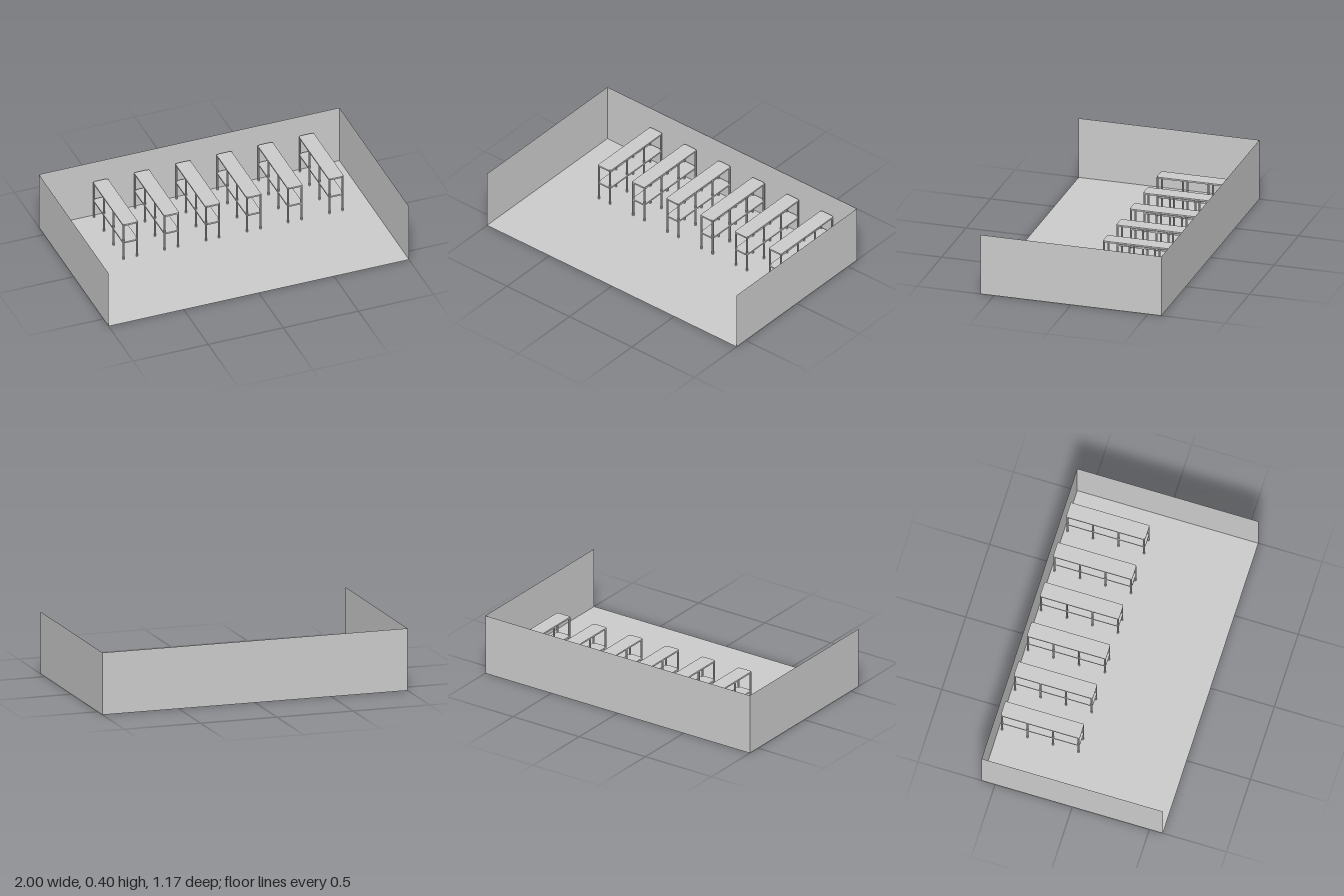
import * as THREE from 'three';

const W = 2, D = 1.174, H = 0.395;
const TABLE_W = 0.1, TABLE_L = 0.512, TABLE_Z = -0.318, TABLE_H = 0.26;
const LEG_R = 0.0065, SHELF_T = 0.01;

const material = new THREE.MeshStandardMaterial({ color: 0xcccccc, flatShading: true });
const thin = new THREE.MeshStandardMaterial({ color: 0xcccccc, side: THREE.DoubleSide });

function add(parent, name, geometry, mat, x, y, z) {
  const mesh = new THREE.Mesh(geometry, mat);
  mesh.name = name;
  mesh.position.set(x, y, z);
  parent.add(mesh);
  return mesh;
}

// Flat board with clipped corners, lying with its top at y = 0
function shelfGeometry() {
  const a = TABLE_W / 2, b = TABLE_L / 2, c = 0.013;
  const shape = new THREE.Shape([
    [a, -b + c], [a, b - c], [a - c, b], [-a + c, b],
    [-a, b - c], [-a, -b + c], [-a + c, -b], [a - c, -b],
  ].map(([x, y]) => new THREE.Vector2(x, y)));
  const g = new THREE.ExtrudeGeometry(shape, { depth: SHELF_T, bevelEnabled: false });
  return g.rotateX(Math.PI / 2);
}

export function createModel() {
  const model = new THREE.Group();
  model.name = 'roomWithTables';

  // Open room: floor and three paper-thin walls
  add(model, 'floor', new THREE.PlaneGeometry(W, D).rotateX(-Math.PI / 2), thin, 0, 0, 0);
  add(model, 'backWall', new THREE.PlaneGeometry(W, H), thin, 0, H / 2, -D / 2);
  for (const s of [-1, 1]) {
    add(model, s > 0 ? 'leftWall' : 'rightWall',
      new THREE.PlaneGeometry(D, H).rotateY(s * Math.PI / 2), thin, s * W / 2, H / 2, 0);
  }

  // Row of six two-tier tables, each on eight slim legs
  const shelf = shelfGeometry();
  const leg = new THREE.CylinderGeometry(LEG_R, LEG_R, TABLE_H - 0.001, 8);
  for (let i = 0; i < 6; i++) {
    const table = new THREE.Group();
    table.name = 'table' + (i + 1);
    table.position.set(-0.597 + i * 0.274, 0, TABLE_Z);
    add(table, 'tableTop', shelf, material, 0, TABLE_H, 0);
    add(table, 'lowerShelf', shelf, material, 0, 0.13, 0);
    for (const s of [-1, 1]) {
      for (let k = 0; k < 4; k++) {
        const z = (k / 3 - 0.5) * (TABLE_L - 2 * LEG_R - 0.002);
        add(table, 'leg', leg, material, s * (TABLE_W / 2 - LEG_R + 0.001), TABLE_H / 2 - 0.0005, z);
      }
    }
    model.add(table);
  }
  return model;
}
